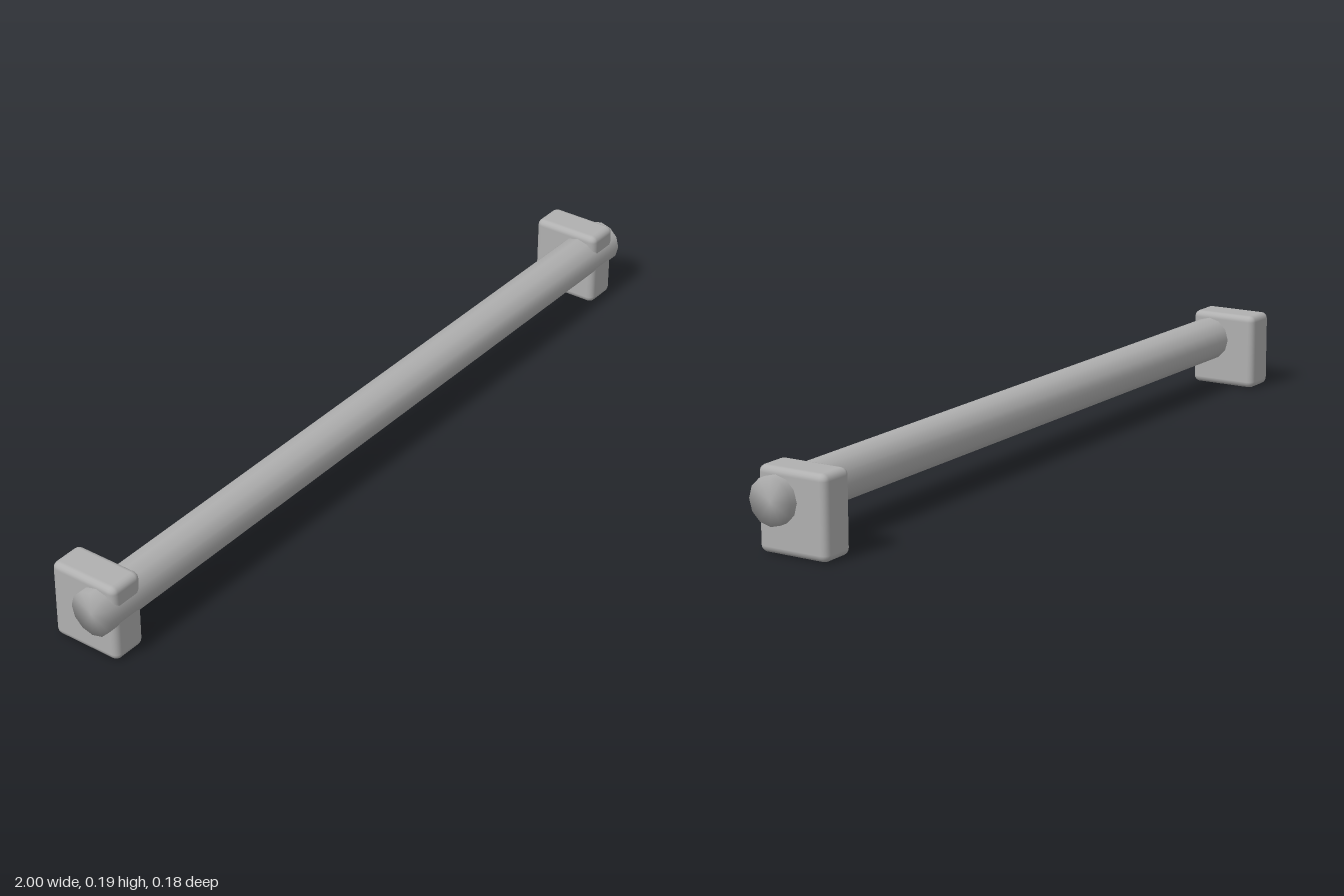
import * as THREE from 'three';
import { mergeVertices } from 'three/addons/utils/BufferGeometryUtils.js';
import { RoundedBoxGeometry } from 'three/addons/geometries/RoundedBoxGeometry.js';

export function createModel() {
  const group = new THREE.Group();
  group.name = 'wallRail';
  const grey = new THREE.MeshStandardMaterial({ color: 0xb0b0b0 });
  grey.name = 'grey';

  // Twelve-sided rail, with normals shared between its sides and end caps
  let railGeometry = new THREE.CylinderGeometry(0.055, 0.055, 2, 12);
  railGeometry.deleteAttribute('normal');
  railGeometry.deleteAttribute('uv');
  railGeometry = mergeVertices(railGeometry, 1e-4);
  railGeometry.computeVertexNormals();
  railGeometry.rotateZ(Math.PI / 2);
  const rail = new THREE.Mesh(railGeometry, grey);
  rail.name = 'rail';
  rail.position.set(0, 0.122, 0.037);
  group.add(rail);

  // Rounded mounting block near each end; the rail runs through both
  const blockGeometry = new RoundedBoxGeometry(0.09, 0.192, 0.178, 2, 0.016);
  for (const side of [-1, 1]) {
    const block = new THREE.Mesh(blockGeometry, grey);
    block.name = side > 0 ? 'leftBracket' : 'rightBracket';
    block.position.set(side * 0.935, 0.096, -0.003);
    group.add(block);
  }
  return group;
}
